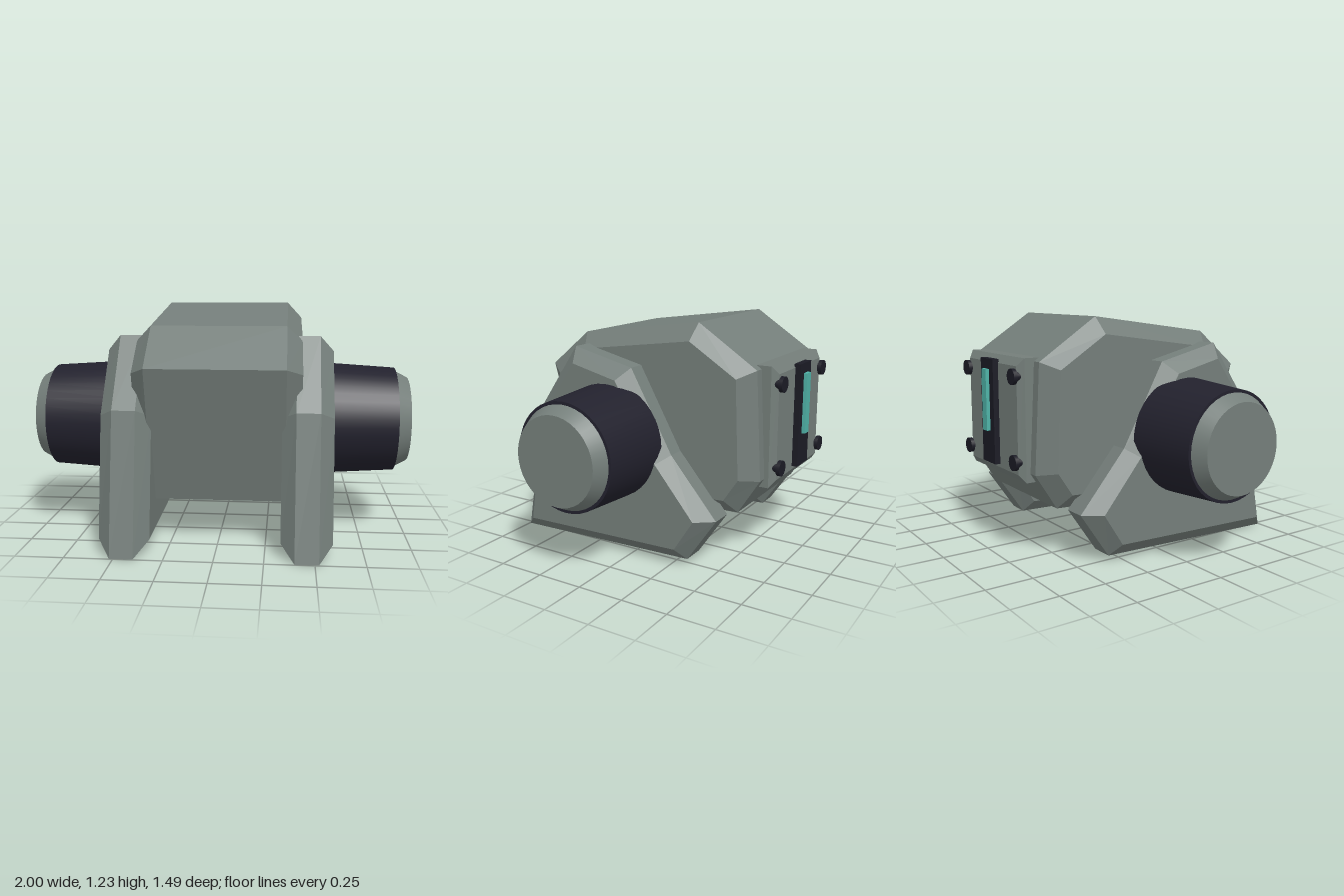
import * as THREE from 'three';

// Bevelled slab: outer and inner outlines as [z, y], stacked along x.
function slab(outer, inner, halfOuter, halfInner) {
  const rings = [[inner, -halfInner], [outer, -halfOuter], [outer, halfOuter], [inner, halfInner]]
    .map(([p, x]) => p.map(([z, y]) => new THREE.Vector3(x, y, z)));
  const pos = [];
  const tri = (...v) => v.forEach((p) => pos.push(p.x, p.y, p.z));
  const n = outer.length;
  for (let r = 0; r < 3; r++) {
    for (let k = 0; k < n; k++) {
      const j = (k + 1) % n;
      const a = rings[r][k], b = rings[r][j], c = rings[r + 1][j], d = rings[r + 1][k];
      tri(a, c, b);
      tri(a, d, c);
    }
  }
  // End caps, each turned to face outward
  const faces = THREE.ShapeUtils.triangulateShape(inner.map(([z, y]) => new THREE.Vector2(z, y)), []);
  for (const [ring, side] of [[rings[0], -1], [rings[3], 1]]) {
    for (const f of faces) {
      const [a, b, c] = f.map((i) => ring[i]);
      const nx = b.clone().sub(a).cross(c.clone().sub(a)).x;
      if (nx * side > 0) tri(a, b, c);
      else tri(a, c, b);
    }
  }
  const g = new THREE.BufferGeometry();
  g.setAttribute('position', new THREE.Float32BufferAttribute(pos, 3));
  g.computeVertexNormals();
  return g;
}

export function createModel() {
  const root = new THREE.Group();
  const material = (name, color) => {
    const m = new THREE.MeshStandardMaterial({ color });
    m.name = name;
    return m;
  };
  const grey = material('grey green metal', 0x747e7a);
  const dark = material('dark navy', 0x22212d);
  const black = material('near black', 0x1b1b25);
  const teal = material('teal light', 0x4fb3a8);
  const add = (parent, name, geo, mat, x = 0, y = 0, z = 0) => {
    const m = new THREE.Mesh(geo, mat);
    m.name = name;
    m.position.set(x, y, z);
    parent.add(m);
    return m;
  };

  // Central body
  add(root, 'body', slab(
    [[0.65, 0.94], [0.41, 1.135], [-0.29, 1.23], [-0.615, 1.017], [-0.645, 0.457], [-0.525, 0.27], [0.46, 0.23]],
    [[0.55, 0.905], [0.37, 1.055], [-0.28, 1.144], [-0.54, 0.98], [-0.56, 0.47], [-0.48, 0.35], [0.40, 0.312]],
    0.35, 0.43), grey);

  // Side plates and round hubs
  const plate = slab(
    [[0.745, 0], [0.61, 0.725], [0.355, 1.082], [0.005, 1.0], [-0.23, 0.575], [-0.49, 0.27], [-0.325, 0.03]],
    [[0.66, 0.075], [0.55, 0.69], [0.325, 1.003], [0.06, 0.94], [-0.175, 0.535], [-0.395, 0.27], [-0.285, 0.10]],
    0.06, 0.13);
  const drum = new THREE.CylinderGeometry(0.28, 0.305, 0.39, 40).rotateZ(-Math.PI / 2);
  const cap = new THREE.CylinderGeometry(0.228, 0.27, 0.08, 40).rotateZ(-Math.PI / 2);
  for (const [side, label] of [[1, 'left'], [-1, 'right']]) {
    add(root, label + 'SidePlate', plate, grey, side * 0.46);
    const hub = new THREE.Group();
    hub.name = label + 'Hub';
    hub.position.set(0, 0.615, 0.12);
    hub.rotation.y = side > 0 ? 0 : Math.PI;
    add(hub, 'hubDrum', drum, dark, 0.735);
    add(hub, 'hubCap', cap, grey, 0.96);
    root.add(hub);
  }

  // Rear panel: bevelled along its outer rim
  const rect = (hw, hh) => [[hw, -hh], [hw, hh], [-hw, hh], [-hw, -hh]];
  const panel = slab(rect(0.3, 0.312), rect(0.27, 0.272), 0.045, 0.075);
  panel.rotateY(Math.PI / 2);
  add(root, 'rearPanel', panel, grey, 0, 0.723, -0.622);

  // Panel bolts
  const head = new THREE.CylinderGeometry(0.04, 0.04, 0.02, 20).rotateX(Math.PI / 2);
  const stem = new THREE.CylinderGeometry(0.025, 0.025, 0.03, 16).rotateX(Math.PI / 2);
  for (const x of [-0.262, 0.262]) {
    for (const y of [0.515, 0.945]) {
      add(root, 'boltHead', head, black, x, y, -0.715);
      add(root, 'boltStem', stem, black, x, y, -0.695);
    }
  }

  // Rear indicator
  add(root, 'indicatorFrame', new THREE.BoxGeometry(0.14, 0.545, 0.035), black, 0, 0.742, -0.709);
  add(root, 'indicatorLight', new THREE.BoxGeometry(0.05, 0.32, 0.025), teal, 0, 0.802, -0.733);
  return root;
}
